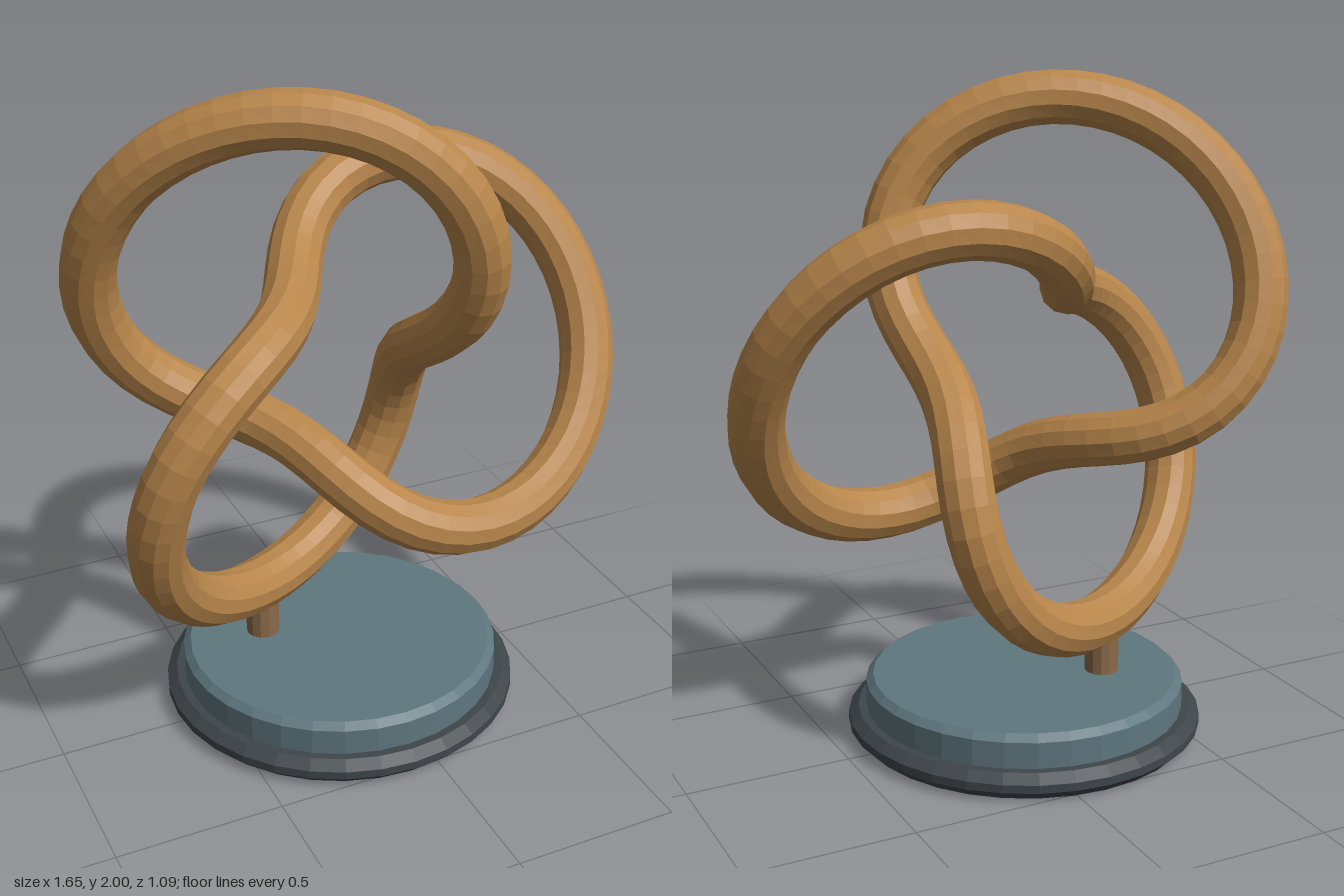
import * as THREE from 'three';

const CENTRE_X = -0.09;

// Trefoil centreline: twice around the axis, three waves in depth
class TrefoilCurve extends THREE.Curve {
  getPoint(t, target = new THREE.Vector3()) {
    const u = t * Math.PI * 4;
    const r = 0.277 * (2 + Math.cos(1.5 * u));
    return target.set(r * Math.cos(u), r * Math.sin(u), -0.303 * Math.sin(1.5 * u));
  }
}

function part(name, geometry, color, x, y, z) {
  const material = new THREE.MeshStandardMaterial({ color, flatShading: true });
  const mesh = new THREE.Mesh(geometry, material);
  mesh.name = name;
  mesh.position.set(x, y, z);
  return mesh;
}

// Solid turned disc from [radius, height] pairs, bottom to top
function disc(profile) {
  return new THREE.LatheGeometry(profile.map(([r, y]) => new THREE.Vector2(r, y)), 32);
}

export function createModel() {
  const group = new THREE.Group();
  group.name = 'knotSculpture';

  // Bevelled two-step plinth
  group.add(part('plinthFoot',
    disc([[0, 0], [0.515, 0], [0.545, 0.03], [0.545, 0.055], [0.515, 0.08], [0, 0.08]]),
    0x3f464a, CENTRE_X, 0, 0));
  group.add(part('plinthTop',
    disc([[0, 0.08], [0.49, 0.08], [0.49, 0.16], [0.468, 0.18], [0, 0.18]]),
    0x5f777f, CENTRE_X, 0, 0));

  // Short post under the lowest loop
  group.add(part('post', new THREE.CylinderGeometry(0.052, 0.052, 0.16, 12),
    0x8a6a4a, -0.303, 0.25, -0.112));

  // Knotted ring
  group.add(part('knot', new THREE.TubeGeometry(new TrefoilCurve(), 128, 0.082, 12, true),
    0xb8864b, CENTRE_X, 1.134, 0));

  return group;
}
